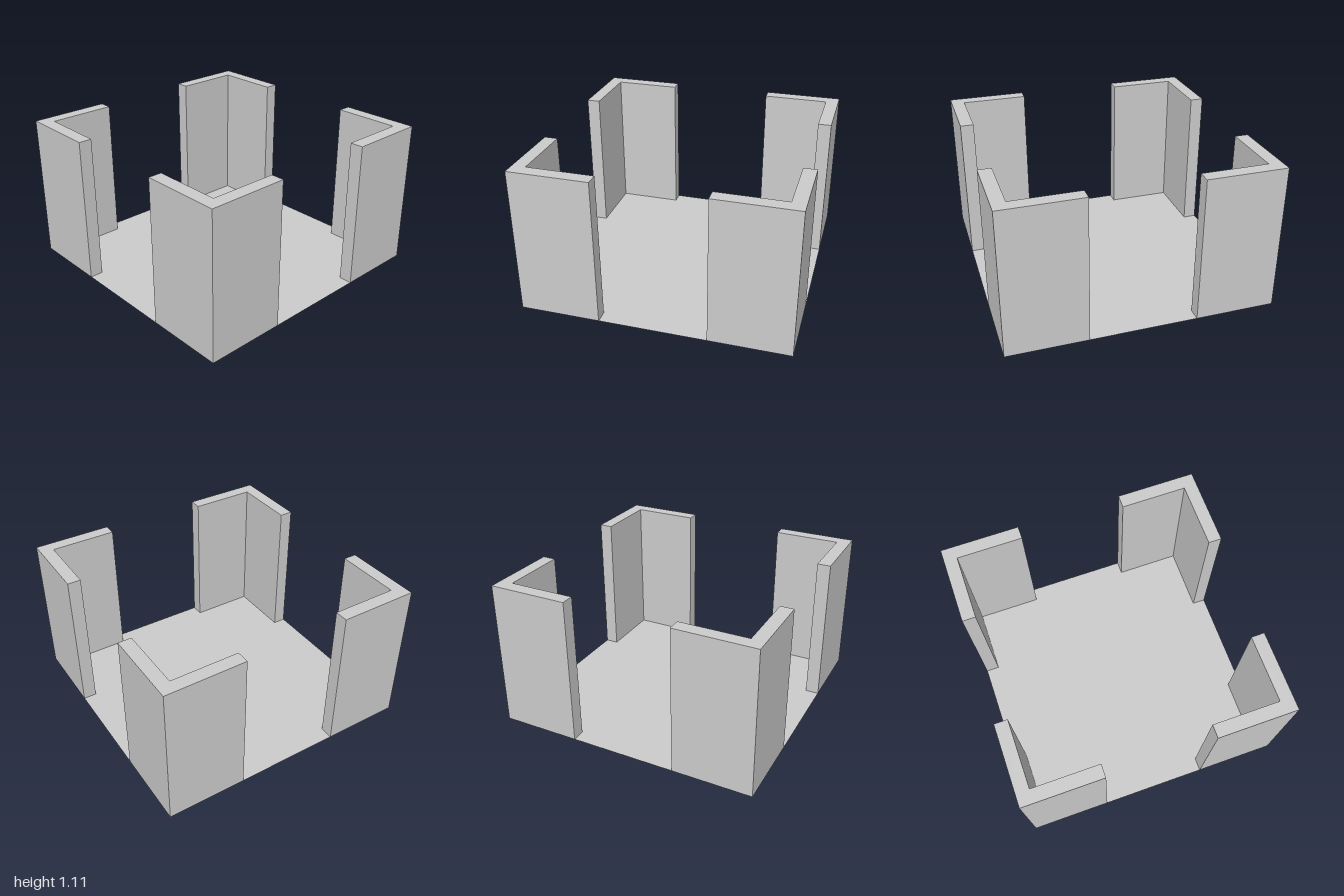
import * as THREE from 'three';

const HALF = 1, HEIGHT = 1.11, THICK = 0.1, ARM = 0.6;

export function createModel() {
  const group = new THREE.Group();
  const material = new THREE.MeshStandardMaterial({ color: 0xcccccc, flatShading: true });

  // Paper-thin square floor, visible from above and below
  const floorMaterial = material.clone();
  floorMaterial.side = THREE.DoubleSide;
  const floor = new THREE.Mesh(new THREE.PlaneGeometry(2 * HALF, 2 * HALF).rotateX(-Math.PI / 2), floorMaterial);
  floor.name = 'floor';
  group.add(floor);

  // L-shaped wall section, extruded upwards from the floor
  const inner = HALF - THICK, end = HALF - ARM;
  const outline = new THREE.Shape([
    [HALF, HALF], [end, HALF], [end, inner], [inner, inner], [inner, end], [HALF, end],
  ].map(([x, y]) => new THREE.Vector2(x, y)));
  const wall = new THREE.ExtrudeGeometry(outline, { depth: HEIGHT, bevelEnabled: false }).rotateX(-Math.PI / 2);

  // One wall at each corner, a quarter turn apart
  ['backLeft', 'backRight', 'frontRight', 'frontLeft'].forEach((corner, i) => {
    const mesh = new THREE.Mesh(wall, material);
    mesh.name = corner + 'CornerWall';
    mesh.rotation.y = i * Math.PI / 2;
    group.add(mesh);
  });

  return group;
}
